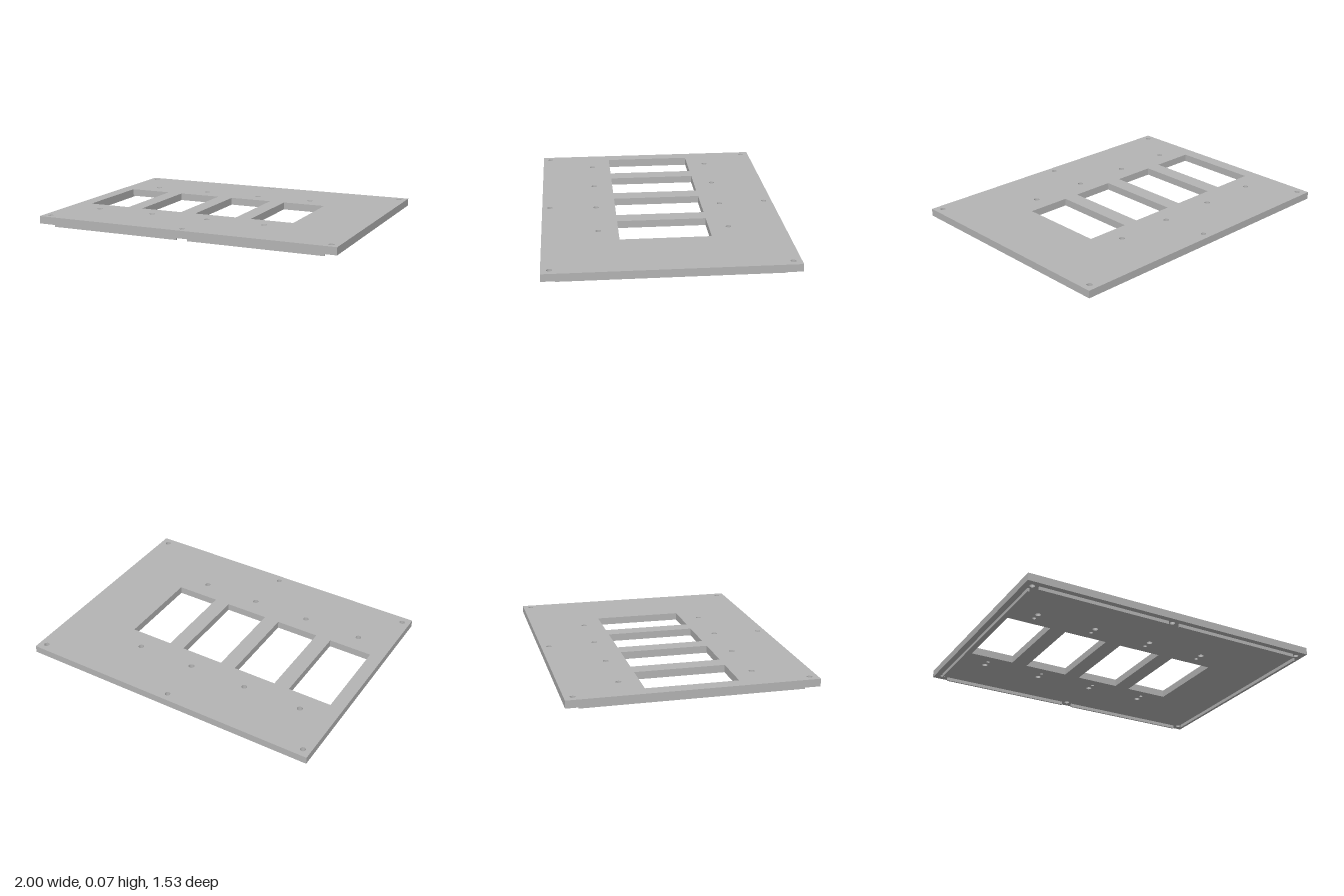
import * as THREE from 'three';

export function createModel() {
  const group = new THREE.Group();
  group.name = 'mountingPanel';
  const grey = new THREE.MeshStandardMaterial({ color: 0xb4b4b4 });
  grey.name = 'panelGrey';

  const halfX = 1, halfZ = 0.767;
  const ribTop = 0.022, blindTop = 0.045, plateTop = 0.07;
  const windowCentres = [-0.768, -0.376, 0.016, 0.407];

  const rectPath = (PathType, cx, hx, hy) => new PathType([
    new THREE.Vector2(cx - hx, -hy), new THREE.Vector2(cx + hx, -hy),
    new THREE.Vector2(cx + hx, hy), new THREE.Vector2(cx - hx, hy)]);
  const circle = (x, y, r) => new THREE.Path().absarc(x, y, r, 0, Math.PI * 2, true);

  // Plate layer with windows and screw holes, optionally with the blind holes of the underside
  function addLayer(name, y0, y1, blind) {
    const shape = rectPath(THREE.Shape, 0, halfX, halfZ);
    for (const s of [-1, 1]) {
      for (const x of [-0.949, -0.003, 0.949]) shape.holes.push(circle(x, s * 0.715, 0.017));
      for (const x of windowCentres) {
        shape.holes.push(circle(x, s * 0.412, 0.018));
        if (blind) shape.holes.push(circle(x, s * 0.357, 0.012));
      }
    }
    for (const x of windowCentres) shape.holes.push(rectPath(THREE.Path, x, 0.144, 0.286));
    const geo = new THREE.ExtrudeGeometry(shape, { depth: y1 - y0, bevelEnabled: false, curveSegments: 24 });
    geo.rotateX(-Math.PI / 2);
    const mesh = new THREE.Mesh(geo, grey);
    mesh.position.y = y0;
    mesh.name = name;
    group.add(mesh);
  }
  addLayer('lowerPlate', ribTop, blindTop, true);
  addLayer('upperPlate', blindTop, plateTop, false);

  // Thin locating ribs on the underside
  function addRib(name, x, z, w, d) {
    const mesh = new THREE.Mesh(new THREE.BoxGeometry(w, ribTop, d), grey);
    mesh.position.set(x, ribTop / 2, z);
    mesh.name = name;
    group.add(mesh);
  }
  for (const s of [-1, 1]) {
    addRib(s > 0 ? 'leftRib' : 'rightRib', s * 0.957, 0, 0.011, 1.366);
    for (const t of [-1, 1]) {
      addRib(s > 0 ? 'frontRib' : 'backRib', t * 0.4745, s * 0.725, 0.875, 0.011);
    }
  }
  return group;
}
